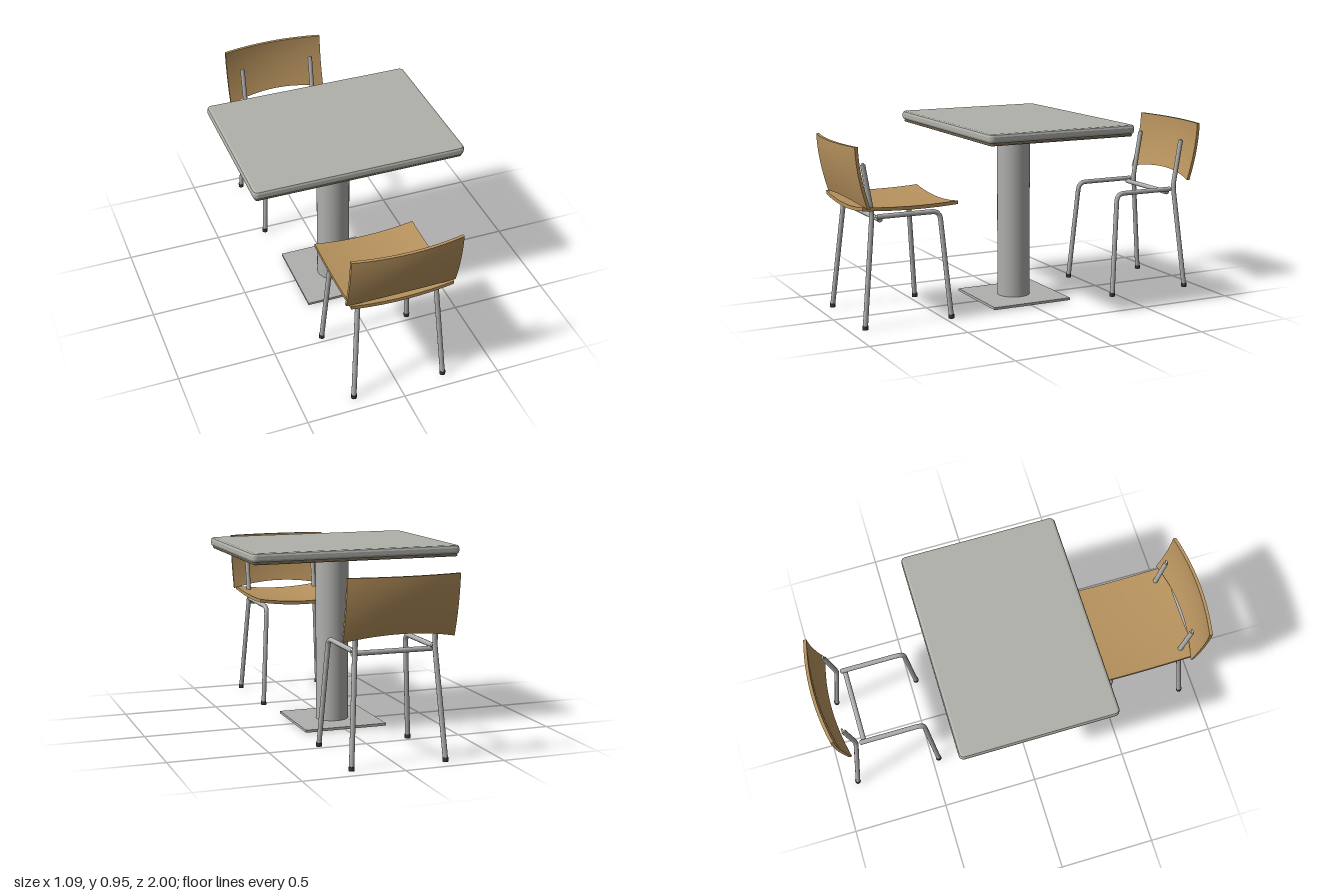
import * as THREE from 'three';

const mat = (name, color) => {
  const m = new THREE.MeshStandardMaterial({ color });
  m.name = name;
  return m;
};

export function createModel() {
  const laminate = mat('grey laminate', 0xb0b1aa);
  const metal = mat('grey metal', 0xb0b1ae);
  const wood = mat('warm plywood', 0xb8935e);
  const board = mat('dull backing board', 0xa39270);
  const rubber = mat('dark rubber', 0x363636);

  const add = (parent, name, geometry, material, x = 0, y = 0, z = 0) => {
    const mesh = new THREE.Mesh(geometry, material);
    mesh.name = name;
    mesh.position.set(x, y, z);
    parent.add(mesh);
    return mesh;
  };

  // Flat slab with rounded corners and a softened rim, lying on y = 0
  const roundedSlab = (w, d, h, corner, bevel, segments) => {
    const x = w / 2 - bevel, y = d / 2 - bevel, r = corner;
    const s = new THREE.Shape();
    s.moveTo(-x + r, -y);
    s.lineTo(x - r, -y).absarc(x - r, -y + r, r, -Math.PI / 2, 0);
    s.lineTo(x, y - r).absarc(x - r, y - r, r, 0, Math.PI / 2);
    s.lineTo(-x + r, y).absarc(-x + r, y - r, r, Math.PI / 2, Math.PI);
    s.lineTo(-x, -y + r).absarc(-x + r, -y + r, r, Math.PI, Math.PI * 1.5);
    return new THREE.ExtrudeGeometry(s, {
      depth: h - 2 * bevel, bevelEnabled: true, bevelSize: bevel, bevelThickness: bevel,
      bevelSegments: segments, curveSegments: 4,
    }).translate(0, 0, bevel).rotateX(-Math.PI / 2);
  };

  // Bent sheet: a unit box whose vertices follow a rule
  const bentSheet = (nx, ny, nz, rule) => {
    const g = new THREE.BoxGeometry(1, 1, 1, nx, ny, nz);
    const p = g.attributes.position;
    for (let i = 0; i < p.count; i++) p.setXYZ(i, ...rule(p.getX(i), p.getY(i), p.getZ(i)));
    g.computeVertexNormals();
    return g;
  };

  // Steel tube through points, with rounded bends and domed ends
  const R = 0.0125;
  const tube = (parent, name, points, bend) => {
    const pts = points.map((p) => new THREE.Vector3(...p));
    const path = new THREE.CurvePath();
    let from = pts[0];
    for (let i = 1; i < pts.length - 1; i++) {
      const a = pts[i].clone().add(pts[i - 1].clone().sub(pts[i]).setLength(bend));
      const b = pts[i].clone().add(pts[i + 1].clone().sub(pts[i]).setLength(bend));
      path.add(new THREE.LineCurve3(from, a));
      path.add(new THREE.QuadraticBezierCurve3(a, pts[i], b));
      from = b;
    }
    path.add(new THREE.LineCurve3(from, pts[pts.length - 1]));
    const g = new THREE.Group();
    g.name = name;
    parent.add(g);
    add(g, name + 'Tube', new THREE.TubeGeometry(path, 48, R, 12), metal);
    for (const e of [pts[0], pts[pts.length - 1]]) {
      add(g, name + 'End', new THREE.SphereGeometry(R, 12, 6).scale(1, 0.5, 0.5), metal, e.x, e.y, e.z);
    }
  };

  const createChair = (withSeat) => {
    const chair = new THREE.Group();
    for (const s of [-1, 1]) {
      // Front leg bends into the seat rail; rear leg carries the backrest
      tube(chair, 'frontLeg', [[s * 0.235, 0.008, 0.466], [s * 0.2, 0.54, 0.508], [s * 0.2, 0.54, 0.838]], 0.04);
      tube(chair, 'rearLeg', [[s * 0.235, 0.008, 0.92], [s * 0.198, 0.555, 0.86], [s * 0.198, 0.8, 0.902]], 0.03);
      for (const z of [0.466, 0.92]) {
        add(chair, 'footCap', new THREE.CylinderGeometry(0.0145, 0.0145, 0.02, 12), rubber, s * 0.235, 0.01, z);
      }
    }
    add(chair, 'crossbar', new THREE.CylinderGeometry(0.0125, 0.0125, 0.4, 12).rotateZ(Math.PI / 2), metal, 0, 0.524, 0.82);

    // Backrest leans back and bows around the sitter
    add(chair, 'backrest', bentSheet(16, 10, 1, (u, v, t) => {
      const k = v + 0.5, bow = 4 * u * u;
      return [
        0.55 * u,
        THREE.MathUtils.lerp(0.625 - 0.03 * bow, 0.894, k),
        0.938 + 0.053 * (1 - (1 - k) ** 1.8) - (0.035 - 0.004 * k) * bow + 0.016 * t,
      ];
    }), wood);

    // Seat is dished from side to side
    if (withSeat) {
      add(chair, 'seat', bentSheet(16, 1, 10, (u, t, v) => [
        0.515 * u,
        0.555 + 0.04 * v * v + 0.008 * (v + 0.5) + 0.022 * 4 * u * u + 0.018 * t,
        0.6825 + 0.495 * v,
      ]), wood);
    }
    return chair;
  };

  const model = new THREE.Group();
  model.name = 'tableWithChairs';

  // Pedestal table
  const table = new THREE.Group();
  table.name = 'table';
  model.add(table);
  add(table, 'tableTop', roundedSlab(1.086, 0.8, 0.046, 0.012, 0.014, 2), laminate, 0, 0.904, 0);
  add(table, 'backingBoard', roundedSlab(1.066, 0.78, 0.012, 0.012, 0.003, 1), board, 0, 0.893, 0);
  add(table, 'column', new THREE.CylinderGeometry(0.085, 0.085, 0.882, 32), metal, 0, 0.455, 0);
  add(table, 'basePlate', new THREE.BoxGeometry(0.436, 0.013, 0.436), metal, 0, 0.0115, 0);

  // Facing chairs, the far one a bare frame with backrest
  const nearChair = createChair(true);
  nearChair.name = 'frontChair';
  const farChair = createChair(false);
  farChair.name = 'rearChair';
  farChair.rotation.y = Math.PI;
  model.add(nearChair, farChair);
  return model;
}
